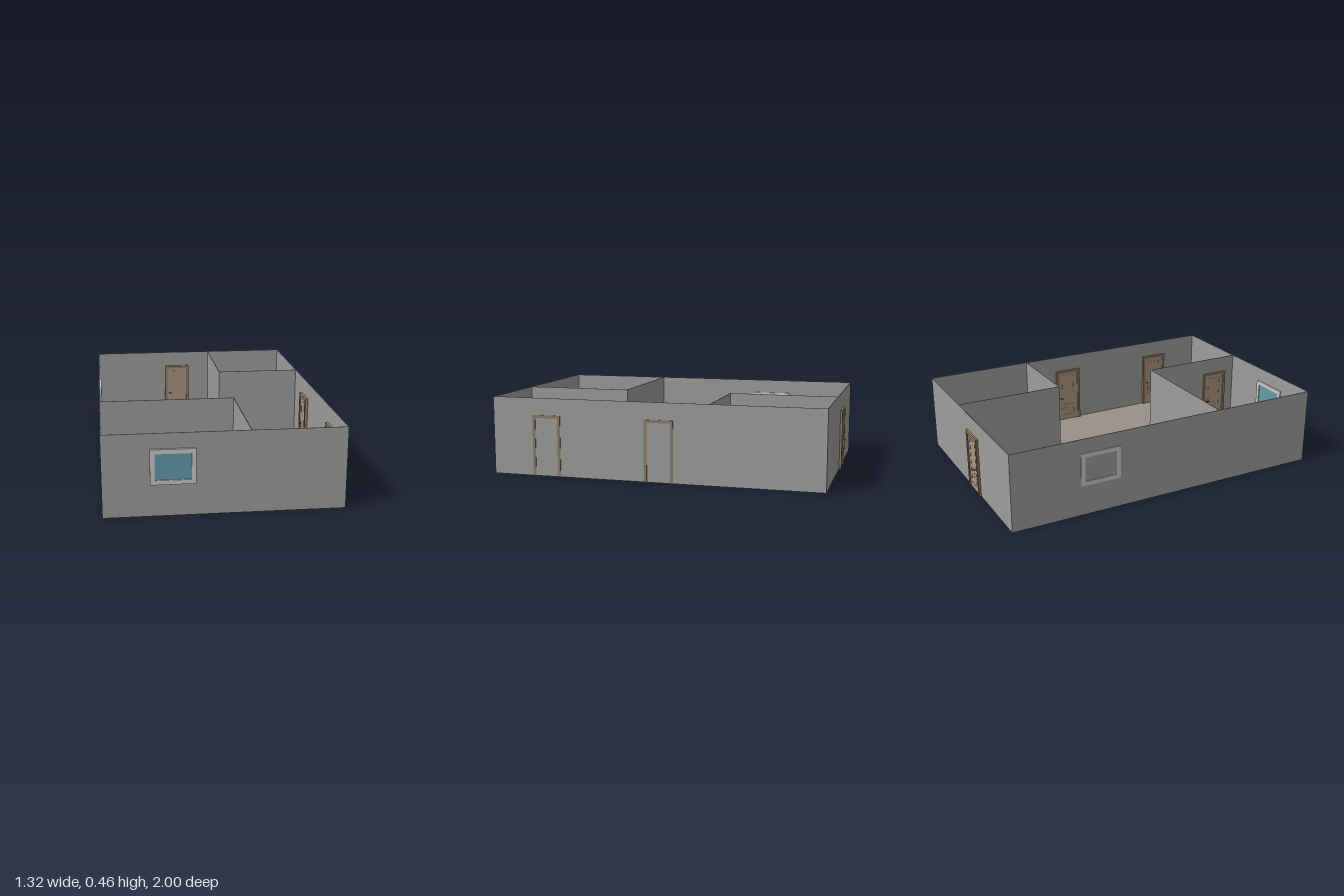
import * as THREE from 'three';

const mat = (color) => new THREE.MeshStandardMaterial({ color });
const wallMat = mat(0x9d9d9b);
const floorMat = mat(0x99918b);
const trimMat = mat(0x8e7862);
const leafMat = mat(0xa8957e);
const handleMat = mat(0x453e38);
const windowMat = mat(0xbdc0c1);
const glassMat = mat(0x649caa);

const X = 0.654, BACK = -0.973, FRONT = 0.984, H = 0.46, T = 0.004;

function box(parent, name, material, size, pos) {
  const mesh = new THREE.Mesh(new THREE.BoxGeometry(...size), material);
  mesh.name = name;
  mesh.position.set(...pos);
  parent.add(mesh);
}

// Rectangular ring centred on the origin, extruded along z
function ring(parent, name, material, w, h, border, depth, y = 0) {
  const rect = (P, a, b) => {
    const p = new P();
    p.moveTo(-a, -b); p.lineTo(a, -b); p.lineTo(a, b); p.lineTo(-a, b); p.closePath();
    return p;
  };
  const shape = rect(THREE.Shape, w / 2, h / 2);
  shape.holes.push(rect(THREE.Path, w / 2 - border, h / 2 - border));
  const geo = new THREE.ExtrudeGeometry(shape, { depth, bevelEnabled: false });
  geo.translate(0, y, -depth / 2);
  const mesh = new THREE.Mesh(geo, material);
  mesh.name = name;
  parent.add(mesh);
}

// Thin wall between two floor points
function wall(parent, name, x0, z0, x1, z1) {
  box(parent, name, wallMat,
    [Math.abs(x1 - x0) + T, H, Math.abs(z1 - z0) + T],
    [(x0 + x1) / 2, H / 2, (z0 + z1) / 2]);
}

// Door: width along x, handle towards -x, frame depth d on each side
function door(name, d, reach, handleSides) {
  const g = new THREE.Group();
  g.name = name;
  const w = 0.172, h = 0.36, b = 0.017;
  for (const s of [-1, 1]) {
    box(g, 'doorJamb', trimMat, [b, h, 2 * d], [s * (w - b) / 2, h / 2, 0]);
  }
  box(g, 'doorHead', trimMat, [w - 2 * b, b, 2 * d], [0, h - b / 2, 0]);
  const leafDepth = d * 1.1;
  box(g, 'doorLeaf', leafMat, [w - 2 * b, h - b - 0.004, leafDepth],
    [0, (h - b + 0.004) / 2, 0]);
  // Panel mouldings show on both faces
  ring(g, 'upperPanelMoulding', leafMat, 0.092, 0.215, 0.008, leafDepth + 0.003, 0.215);
  ring(g, 'lowerPanelMoulding', leafMat, 0.092, 0.06, 0.008, leafDepth + 0.003, 0.06);
  // Lever handles
  for (const s of handleSides) {
    const stem = new THREE.Mesh(new THREE.CylinderGeometry(0.003, 0.003, reach, 12), handleMat);
    stem.name = 'handleStem';
    stem.rotation.x = Math.PI / 2;
    stem.position.set(-0.057, 0.16, s * reach / 2);
    g.add(stem);
    box(g, 'handleLever', handleMat, [0.026, 0.005, 0.004], [-0.048, 0.16, s * (reach - 0.002)]);
  }
  return g;
}

// Window: frame ring with recessed glass, width along x
function windowUnit(name, depth) {
  const g = new THREE.Group();
  g.name = name;
  ring(g, 'windowFrame', windowMat, 0.245, 0.195, 0.025, depth);
  box(g, 'windowGlass', glassMat, [0.197, 0.147, depth * 0.55], [0, 0, 0]);
  return g;
}

export function createModel() {
  const model = new THREE.Group();
  model.name = 'roofless house';

  box(model, 'floor', floorMat, [2 * X, T, FRONT - BACK], [0, T / 2, (FRONT + BACK) / 2]);

  // Outer walls
  wall(model, 'frontWall', -X, FRONT, X, FRONT);
  wall(model, 'backWall', -X, BACK, X, BACK);
  wall(model, 'leftWall', X, BACK, X, FRONT);
  wall(model, 'rightWall', -X, BACK, -X, FRONT);

  // Two corner rooms
  const px = 0.136;
  wall(model, 'backRoomSideWall', px, BACK, px, -0.325);
  wall(model, 'backRoomFrontWall', px, -0.325, X, -0.325);
  wall(model, 'frontRoomSideWall', px, 0.335, px, FRONT);
  wall(model, 'frontRoomBackWall', -X, 0.335, px, 0.335);

  // Doors: back entrance, inner door, two set into the left wall
  const place = (part, x, y, z, turn = 0) => {
    part.position.set(x, y, z);
    part.rotation.y = turn;
    model.add(part);
  };
  place(door('backDoor', 0.015, 0.027, [-1, 1]), -0.093, 0, BACK);
  place(door('innerDoor', 0.012, 0.018, [-1, 1]), px, 0, 0.832, -Math.PI / 2);
  for (const z of [-0.029, 0.652]) {
    place(door('sideDoor', 0.0125, 0.016, [1]), 0.647, 0, z, -Math.PI / 2);
  }

  // Windows in the front and right walls
  place(windowUnit('frontWindow', 0.025), -0.28, 0.277, 0.9875);
  place(windowUnit('sideWindow', 0.018), -0.651, 0.277, -0.438, -Math.PI / 2);

  return model;
}
